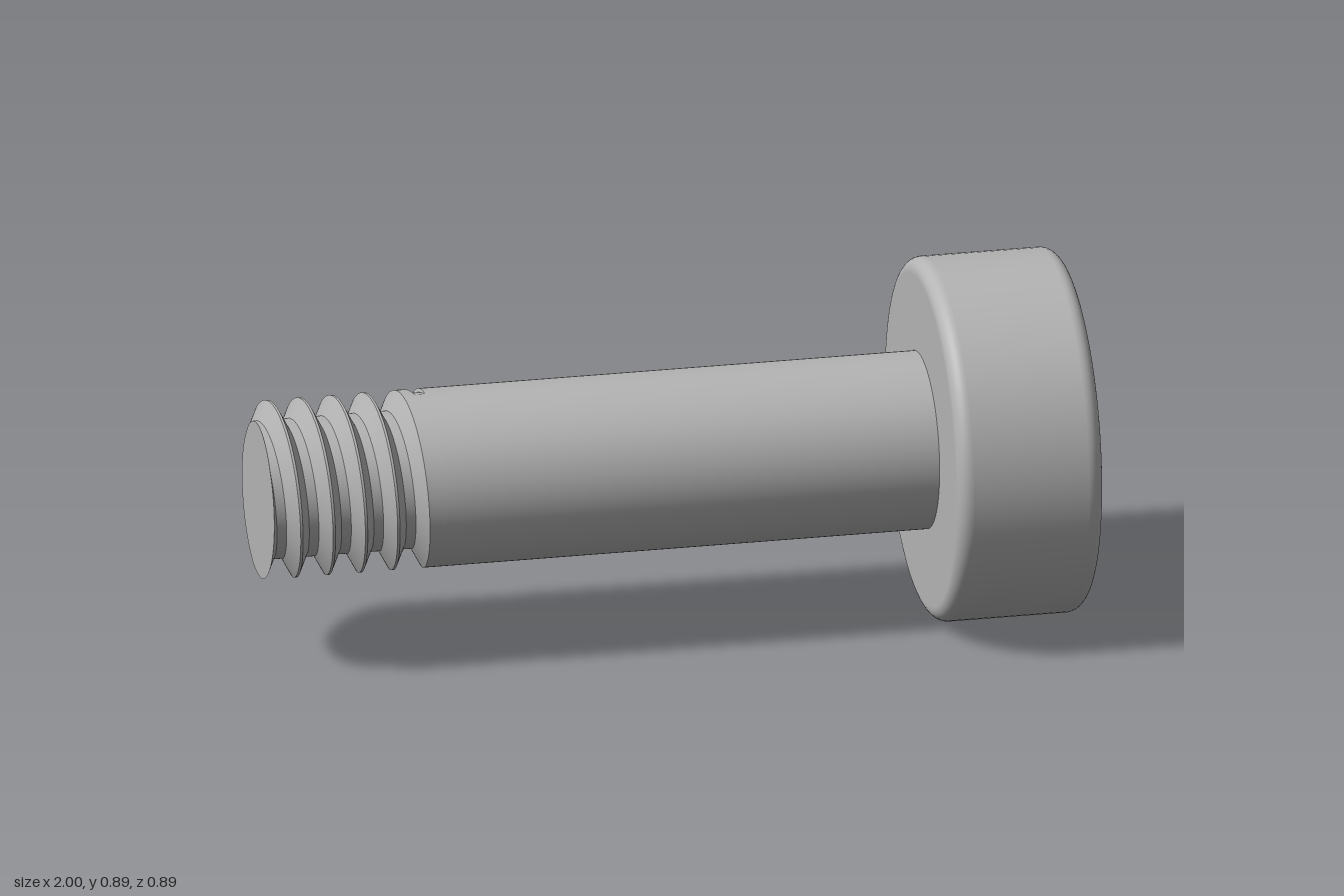
import * as THREE from 'three';
import { toCreasedNormals } from 'three/addons/utils/BufferGeometryUtils.js';

const AXIS_Y = 0.444, HEAD_R = 0.444, SHAFT_R = 0.217, ROOT_R = 0.169;
const X_END = -1, X_THREAD = -0.58, X_HEAD = 0.64, PITCH = 0.08;
const SEG = 96;

// Solid of revolution about the x axis from [x, radius] points
function turned(points) {
  const g = new THREE.LatheGeometry(points.map(([x, r]) => new THREE.Vector2(r, x)), SEG);
  return g.rotateZ(-Math.PI / 2);
}

// Head with rounded rims; close point pairs keep the flat faces flat
function headGeometry() {
  const f = 0.036, e = 0.001, pts = [[X_HEAD, 0], [X_HEAD, HEAD_R - f - e]];
  for (let i = 0; i <= 10; i++) {
    const a = (i / 10) * Math.PI / 2;
    pts.push([X_HEAD + f - f * Math.cos(a), HEAD_R - f + f * Math.sin(a)]);
  }
  pts.push([X_HEAD + f + e, HEAD_R], [1 - f - e, HEAD_R]);
  for (let i = 0; i <= 10; i++) {
    const a = (i / 10) * Math.PI / 2;
    pts.push([1 - f + f * Math.sin(a), HEAD_R - f + f * Math.cos(a)]);
  }
  pts.push([1, HEAD_R - f - e], [1, 0]);
  return turned(pts);
}

// Helical groove that runs out over its last half turn
function threadGeometry() {
  const column = (t) => {
    const at = (x, r) => new THREE.Vector3(x, r * Math.cos(t), r * Math.sin(t));
    const grooves = [];
    for (let k = -2; k < 4; k++) {
      const p = k + t / (2 * Math.PI);
      const fade = Math.pow(THREE.MathUtils.clamp((4 - p) / 0.5, 0, 1), 0.7);
      grooves.push({ c: -0.92 + PITCH * p, half: 0.012 + 0.025 * fade, flat: 0.012, depth: (SHAFT_R - ROOT_R) * fade });
    }
    const radius = (x) => {
      let r = SHAFT_R;
      for (const g of grooves) {
        const d = Math.abs(x - g.c);
        const s = THREE.MathUtils.clamp((g.half - d) / Math.max(g.half - g.flat, 1e-6), 0, 1);
        r = Math.min(r, SHAFT_R - g.depth * s);
      }
      return r;
    };
    const xs = [X_END];
    for (const g of grooves) xs.push(g.c - g.half, g.c - g.flat, g.c + g.flat, g.c + g.half);
    xs.push(X_THREAD);
    return xs.map((x) => THREE.MathUtils.clamp(x, X_END, X_THREAD)).map((x) => at(x, radius(x)));
  };

  const pos = [], ab = new THREE.Vector3(), ac = new THREE.Vector3();
  const tri = (a, b, c) => {
    ab.subVectors(b, a); ac.subVectors(c, a);
    if (ab.cross(ac).length() > 1e-9) pos.push(...a.toArray(), ...b.toArray(), ...c.toArray());
  };
  const centre = new THREE.Vector3(X_END, 0, 0);
  let prev = column(0);
  for (let i = 1; i <= SEG; i++) {
    const next = column((i / SEG) * Math.PI * 2);
    for (let j = 0; j < prev.length - 1; j++) {
      tri(prev[j], next[j], next[j + 1]);
      tri(prev[j], next[j + 1], prev[j + 1]);
    }
    tri(centre, next[0], prev[0]); // flat tip
    prev = next;
  }
  const g = new THREE.BufferGeometry();
  g.setAttribute('position', new THREE.Float32BufferAttribute(pos, 3));
  return toCreasedNormals(g, 0.45);
}

export function createModel() {
  const steel = new THREE.MeshStandardMaterial({ color: 0xb4b4b4 });
  steel.name = 'steel grey';
  const model = new THREE.Group();
  model.name = 'bolt';
  const add = (name, geometry) => {
    const mesh = new THREE.Mesh(geometry, steel);
    mesh.name = name;
    mesh.position.y = AXIS_Y;
    model.add(mesh);
  };
  add('head', headGeometry());
  add('shank', turned([[X_THREAD, SHAFT_R], [X_HEAD, SHAFT_R]]));
  add('thread', threadGeometry());
  return model;
}
